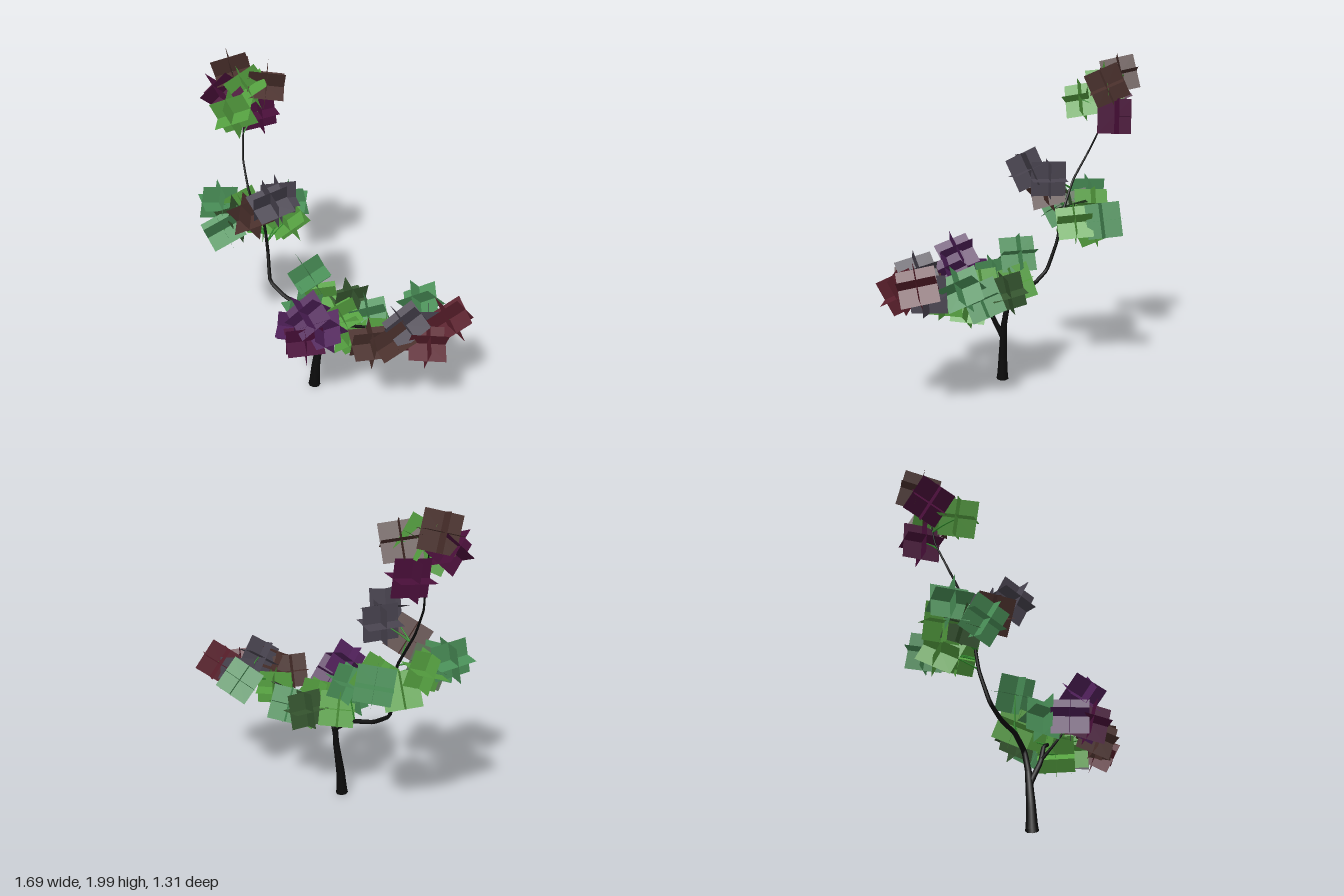
import * as THREE from 'three';

const COLORS = {
  light: 0x4a9058, bright: 0x55a040, dark: 0x35552f, purple: 0x50205a,
  magenta: 0x4a0f3a, brown: 0x4a302c, red: 0x5a1f2c, slate: 0x48434f,
};

const v3 = (x, y, z) => new THREE.Vector3(x, y, z);

// Tube whose rings shrink along its length
function taperedTube(curve, steps, sides, r0, r1) {
  const geo = new THREE.TubeGeometry(curve, steps, 1, sides);
  const pos = geo.attributes.position, v = v3();
  for (let i = 0; i <= steps; i++) {
    const centre = curve.getPointAt(i / steps);
    const r = THREE.MathUtils.lerp(r0, r1, Math.pow(i / steps, 0.6));
    for (let j = 0; j <= sides; j++) {
      const k = i * (sides + 1) + j;
      v.fromBufferAttribute(pos, k).sub(centre).multiplyScalar(r).add(centre);
      pos.setXYZ(k, v.x, v.y, v.z);
    }
  }
  return geo;
}

export function createModel() {
  const tree = new THREE.Group();
  tree.name = 'tree';
  const bark = new THREE.MeshStandardMaterial({ color: 0x0c0c0c, side: THREE.DoubleSide });
  const twigMat = new THREE.MeshStandardMaterial({ color: 0x2f8a2a });
  const leafMats = {};
  for (const key in COLORS) {
    leafMats[key] = new THREE.MeshStandardMaterial({ color: COLORS[key], side: THREE.DoubleSide });
  }
  const joints = [];

  // Bark limb along a few points, with slightly kinked joints; returns its curve
  function limb(name, r0, r1, ...points) {
    const curve = new THREE.CatmullRomCurve3(points, false, 'catmullrom', 0.15);
    const mesh = new THREE.Mesh(taperedTube(curve, points.length * 5, 8, r0, r1), bark);
    mesh.name = name;
    tree.add(mesh);
    return curve;
  }

  // Three crossed square leaves on a thin twig, tilted by a rule
  const leaf = new THREE.PlaneGeometry(0.215, 0.215);
  let count = 0;
  function sprig(color, x, y, z) {
    const centre = v3(x, y, z), n = count++;
    const group = new THREE.Group();
    group.name = 'leafSprig';
    group.position.copy(centre);
    group.rotation.set(0.22 + 0.25 * Math.sin(n * 2.4), 0.25 + 0.3 * Math.sin(n * 1.3), 0.2 + 0.4 * Math.sin(n * 1.7));
    for (const [rx, ry] of [[0, 0], [0, Math.PI / 2], [Math.PI / 2, 0]]) {
      const mesh = new THREE.Mesh(leaf, leafMats[color]);
      mesh.name = 'leaf';
      mesh.rotation.set(rx, ry, 0);
      group.add(mesh);
    }
    tree.add(group);

    // Twig grows from the closest branch point that lies below the leaves
    const cost = q => q.distanceTo(centre) + Math.max(0, q.y - y + 0.06) * 2;
    const root = joints.reduce((a, b) => (cost(b) < cost(a) ? b : a));
    const bend = root.clone().lerp(centre, 0.5);
    bend.y += 0.015;
    const path = new THREE.QuadraticBezierCurve3(root, bend, centre);
    const twig = new THREE.Mesh(taperedTube(path, 5, 5, 0.006, 0.003), twigMat);
    twig.name = 'twig';
    tree.add(twig);
  }

  // Trunk and branches
  limb('trunk', 0.038, 0.019, v3(-0.09, 0, 0.11), v3(-0.08, 0.15, 0.105), v3(-0.05, 0.37, 0.09));
  const branches = [
    limb('tallBranch', 0.02, 0.004, v3(-0.055, 0.33, 0.095), v3(-0.05, 0.47, 0.07), v3(-0.16, 0.54, 0.02),
      v3(-0.28, 0.57, -0.05), v3(-0.375, 0.64, -0.11), v3(-0.39, 0.82, -0.17), v3(-0.41, 1, -0.2),
      v3(-0.5, 1.2, -0.25), v3(-0.54, 1.38, -0.34), v3(-0.54, 1.55, -0.42), v3(-0.55, 1.74, -0.46)),
    limb('sideBranch', 0.02, 0.004, v3(-0.06, 0.28, 0.1), v3(-0.04, 0.41, 0.16), v3(0, 0.52, 0.18),
      v3(0.1, 0.57, 0.22), v3(0.4, 0.67, 0.36), v3(0.6, 0.74, 0.4)),
    limb('frontBranch', 0.012, 0.004, v3(-0.035, 0.42, 0.16), v3(-0.07, 0.52, 0.25), v3(-0.1, 0.66, 0.36)),
  ];
  for (const curve of branches) joints.push(...curve.getSpacedPoints(30));

  // Top crown
  sprig('brown', -0.6, 1.86, -0.52);
  sprig('magenta', -0.65, 1.76, -0.45);
  sprig('magenta', -0.46, 1.61, -0.51);
  sprig('brown', -0.4, 1.8, -0.47);
  sprig('bright', -0.57, 1.7, -0.29);
  sprig('bright', -0.5, 1.8, -0.44);

  // Middle crown
  sprig('slate', -0.34, 1.28, 0.01);
  sprig('slate', -0.31, 1.23, -0.13);
  sprig('brown', -0.47, 1.13, -0.09);
  sprig('dark', -0.58, 1.01, -0.24);
  sprig('light', -0.7, 1.08, -0.31);
  sprig('light', -0.65, 1, -0.13);
  sprig('bright', -0.28, 0.97, -0.3);
  sprig('light', -0.28, 0.99, -0.48);
  sprig('bright', -0.43, 0.92, -0.38);
  sprig('bright', -0.56, 1.03, -0.36);

  // Lower crown
  sprig('purple', -0.1, 0.78, 0.4);
  sprig('magenta', -0.12, 0.62, 0.44);
  sprig('purple', -0.18, 0.63, 0.33);
  sprig('purple', -0.01, 0.68, 0.41);
  sprig('light', -0.12, 0.79, 0.02);
  sprig('dark', 0.13, 0.61, 0.03);
  sprig('bright', -0.06, 0.62, 0.02);
  sprig('bright', 0.14, 0.52, 0.25);
  sprig('light', 0.25, 0.59, 0.14);
  sprig('light', -0.14, 0.64, 0.18);
  sprig('bright', 0.08, 0.62, 0.2);

  // Side crown
  sprig('light', 0.55, 0.73, 0.18);
  sprig('bright', 0.35, 0.62, 0.34);
  sprig('brown', 0.26, 0.67, 0.5);
  sprig('slate', 0.46, 0.78, 0.46);
  sprig('brown', 0.39, 0.7, 0.51);
  sprig('red', 0.58, 0.7, 0.52);
  sprig('slate', 0.59, 0.7, 0.36);
  sprig('red', 0.71, 0.77, 0.38);
  return tree;
}
